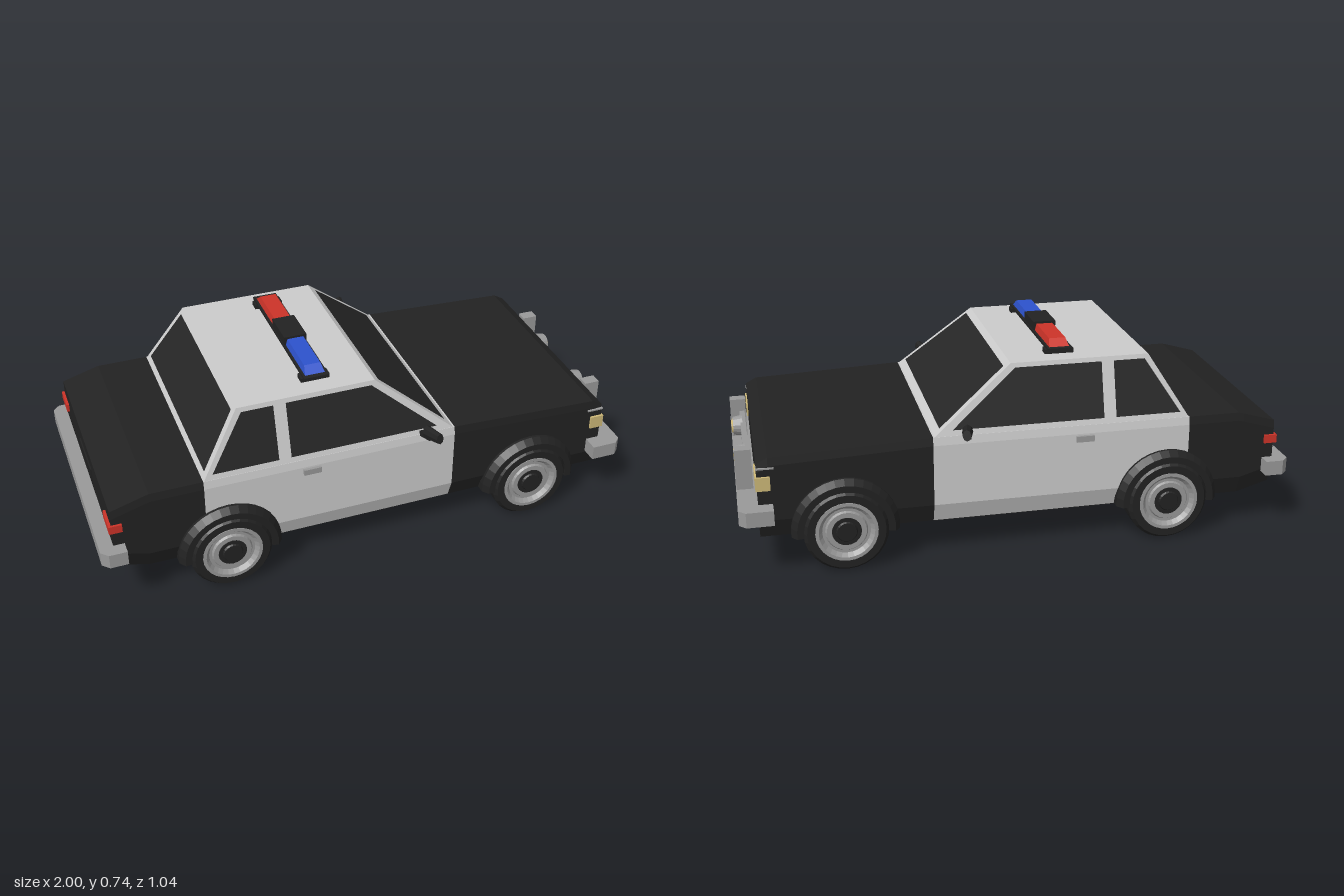
import * as THREE from 'three';

const mat = (color) => new THREE.MeshStandardMaterial({ color, flatShading: true, side: THREE.DoubleSide });

// Closed hull through rings of 3D points (counter-clockwise seen from the last ring)
function loft(rings) {
  const p = [];
  const n = rings[0].length;
  const tri = (a, b, c) => p.push(...a, ...b, ...c);
  for (let k = 0; k < rings.length - 1; k++) {
    const a = rings[k], b = rings[k + 1];
    for (let i = 0; i < n; i++) {
      const j = (i + 1) % n;
      tri(a[i], a[j], b[j]);
      tri(a[i], b[j], b[i]);
    }
  }
  const first = rings[0], last = rings[rings.length - 1];
  for (let i = 1; i < n - 1; i++) {
    tri(first[0], first[i + 1], first[i]);
    tri(last[0], last[i], last[i + 1]);
  }
  const g = new THREE.BufferGeometry();
  g.setAttribute('position', new THREE.Float32BufferAttribute(p, 3));
  g.computeVertexNormals();
  return g;
}

// Body cross-section at x, with a tucked-in sill
const section = ([x, bottom, top]) => {
  const half = [[0.4, bottom], [0.425, bottom + 0.07], [0.425, top - 0.03], [0.42, top]];
  const right = half.map(([z, y]) => [x, y, -z]);
  const left = half.map(([z, y]) => [x, y, z]).reverse();
  return [left[3], ...right, ...left.slice(0, 3)];
};

// Horizontal rectangle used as a ring for upward lofts
const rect = (y, x0, x1, z0, z1) => [[x0, y, z1], [x1, y, z1], [x1, y, z0], [x0, y, z0]];

// Flat convex pane
function pane(points) {
  const p = [];
  for (let i = 1; i < points.length - 1; i++) p.push(...points[0], ...points[i], ...points[i + 1]);
  const g = new THREE.BufferGeometry();
  g.setAttribute('position', new THREE.Float32BufferAttribute(p, 3));
  g.computeVertexNormals();
  return g;
}

// Revolved profile of [radius, z], axis along z
function turned(profile, segments, start = 0, length = Math.PI * 2) {
  const pts = profile.map(([r, z]) => new THREE.Vector2(r, z));
  return new THREE.LatheGeometry(pts, segments, start, length).rotateX(Math.PI / 2);
}

export function createModel() {
  const car = new THREE.Group();
  car.name = 'patrolCar';
  const white = mat(0xcccccc), black = mat(0x222222), glass = mat(0x262626), chrome = mat(0x999999);
  const yellow = mat(0xcdb878), red = mat(0xcc3328), blue = mat(0x2d52cc);

  const add = (name, geometry, material, parent = car) => {
    const m = new THREE.Mesh(geometry, material);
    m.name = name;
    parent.add(m);
    return m;
  };
  const box = (name, material, [x0, x1], [y0, y1], [z0, z1], parent = car) => {
    const m = add(name, new THREE.BoxGeometry(x1 - x0, y1 - y0, z1 - z0), material, parent);
    m.position.set((x0 + x1) / 2, (y0 + y1) / 2, (z0 + z1) / 2);
    return m;
  };

  // Lower body
  add('rearBody', loft([[-0.95, 0.17, 0.42], [-0.83, 0.135, 0.455], [-0.81, 0.135, 0.46], [-0.62, 0.135, 0.46]].map(section)), black);
  add('doorSection', loft([[-0.62, 0.135, 0.46], [0.32, 0.135, 0.46]].map(section)), white);
  add('frontBody', loft([[0.32, 0.135, 0.46], [0.89, 0.135, 0.437], [0.93, 0.135, 0.415]].map(section)), black);
  box('floor', black, [-0.62, 0.32], [0.132, 0.138], [-0.398, 0.398]);
  box('rearPlate', black, [-0.955, -0.945], [0.31, 0.37], [-0.1, 0.1]);

  // Cabin and glass
  add('cabin', loft([rect(0.455, -0.62, 0.32, -0.42, 0.42), rect(0.69, -0.475, 0.03, -0.355, 0.355)]), white);
  const lo = 0.48, hi = 0.675;
  const wallZ = (y) => 0.423 - (y - 0.455) * 0.277;
  const frontX = (y) => 0.323 - (y - 0.455) * 1.234;
  const rearX = (y) => -0.623 + (y - 0.455) * 0.617;
  for (const [name, edgeX] of [['windscreen', frontX], ['rearWindow', rearX]]) {
    const corner = (y, s) => [edgeX(y), y, s * (wallZ(y) - 0.027)];
    add(name, pane([corner(lo, 1), corner(lo, -1), corner(hi, -1), corner(hi, 1)]), glass);
  }
  for (const s of [1, -1]) {
    const sidePane = (name, pts) => add(name, pane(pts.map(([x, y]) => [x, y, s * wallZ(y)])), glass);
    sidePane('rearSideWindow', [[-0.585, lo], [-0.345, lo], [-0.345, hi], [-0.46, hi]]);
    sidePane('frontSideWindow', [[-0.3, lo], [0.25, lo], [0.015, hi], [-0.3, hi]]);
  }

  // Wheels and arches, turned around for the far side
  const tyre = turned([[0, 0.36], [0.138, 0.36], [0.15, 0.375], [0.15, 0.448], [0.138, 0.463], [0.108, 0.463]], 28);
  const rim = turned([[0.112, 0.455], [0.11, 0.465], [0.098, 0.465], [0.085, 0.45], [0.075, 0.45], [0.07, 0.458], [0.052, 0.458]], 28);
  const hub = turned([[0.054, 0.45], [0.052, 0.46], [0.038, 0.46], [0.034, 0.466], [0, 0.466]], 20);
  const arch = turned([[0.19, 0.4], [0.19, 0.435], [0.172, 0.46], [0.148, 0.46], [0.148, 0.4]], 18, Math.PI / 2 - 0.08, Math.PI + 0.16);
  for (const x of [-0.54, 0.635]) {
    for (const turn of [0, Math.PI]) {
      const wheel = new THREE.Group();
      wheel.name = 'wheel';
      wheel.position.set(x, 0.152, 0);
      wheel.rotation.y = turn;
      add('tyre', tyre, black, wheel);
      add('rim', rim, chrome, wheel);
      add('hub', hub, black, wheel);
      add('wheelArch', arch, black, wheel);
      car.add(wheel);
    }
  }

  // Wrap-around bumpers
  const bumper = (name, d, end, inner, w, y0, y1) => {
    const half = [[end, w - 0.06], [end, w], [0.975, w], [1, w - 0.025]];
    const outline = [[inner, w - 0.06], ...half];
    const pts = [...outline, ...outline.map(([x, z]) => [x, -z]).reverse()];
    const shape = new THREE.Shape(pts.map(([x, z]) => new THREE.Vector2(d * x, z)));
    const g = new THREE.ExtrudeGeometry(shape, { depth: y1 - y0, bevelEnabled: false }).rotateX(Math.PI / 2);
    add(name, g, chrome).position.y = y1;
  };
  bumper('frontBumper', 1, 0.88, 0.925, 0.485, 0.212, 0.267);
  bumper('rearBumper', -1, 0.91, 0.945, 0.473, 0.222, 0.277);

  // Push bar
  box('pushBarRail', chrome, [0.945, 0.965], [0.32, 0.368], [-0.24, 0.24]);

  for (const s of [1, -1]) {
    const span = (a, b) => (s > 0 ? [a, b] : [-b, -a]);
    box('pushBarPost', chrome, [0.94, 0.998], [0.26, 0.415], span(0.238, 0.281));
    box('headlight', yellow, [0.885, 0.936], [0.32, 0.37], span(0.302, 0.434));
    box('tailLight', red, [-0.96, -0.913], [0.335, 0.366], span(0.335, 0.434));
    box('frontSideTrim', chrome, [0.87, 0.932], [0.398, 0.403], span(0.4, 0.432));
    box('doorHandle', chrome, [-0.26, -0.195], [0.402, 0.424], span(0.42, 0.436));

    // Round spotlights on the push bar
    const ring = add('spotlightRim', new THREE.CylinderGeometry(0.034, 0.04, 0.035, 18).rotateZ(-Math.PI / 2), chrome);
    ring.position.set(0.975, 0.345, s * 0.145);
    const lens = add('spotlightLens', new THREE.CylinderGeometry(0.022, 0.03, 0.008, 18).rotateZ(-Math.PI / 2), yellow);
    lens.position.set(0.995, 0.345, s * 0.145);

    // Door mirror
    const mirror = new THREE.Group();
    mirror.name = 'doorMirror';
    mirror.position.set(0.21, 0.488, s * 0.478);
    mirror.rotation.set(-s * 0.2, s * 0.22, 0);
    const head = add('mirrorHead', new THREE.CylinderGeometry(0.02, 0.026, 0.078, 8).rotateX(s * Math.PI / 2), black, mirror);
    head.scale.x = 0.75;
    box('mirrorStem', black, [-0.012, 0.012], [-0.022, -0.002], span(-0.07, -0.01), mirror);
    car.add(mirror);
  }

  // Roof light bar
  const bar = new THREE.Group();
  bar.name = 'lightBar';
  bar.position.x = -0.165;
  car.add(bar);
  box('barBase', black, [-0.045, 0.045], [0.704, 0.714], [-0.3, 0.3], bar);
  box('barCentre', black, [-0.042, 0.042], [0.71, 0.746], [-0.07, 0.07], bar);
  const lamp = loft([rect(0.712, -0.037, 0.037, 0.07, 0.285), rect(0.738, -0.03, 0.03, 0.07, 0.253)]);
  add('blueLamp', lamp, blue, bar);
  add('redLamp', lamp, red, bar).rotation.y = Math.PI;
  for (const z of [-0.266, 0.266]) {
    box('barFoot', black, [-0.053, 0.053], [0.688, 0.706], [z - 0.019, z + 0.019], bar);
  }
  return car;
}
